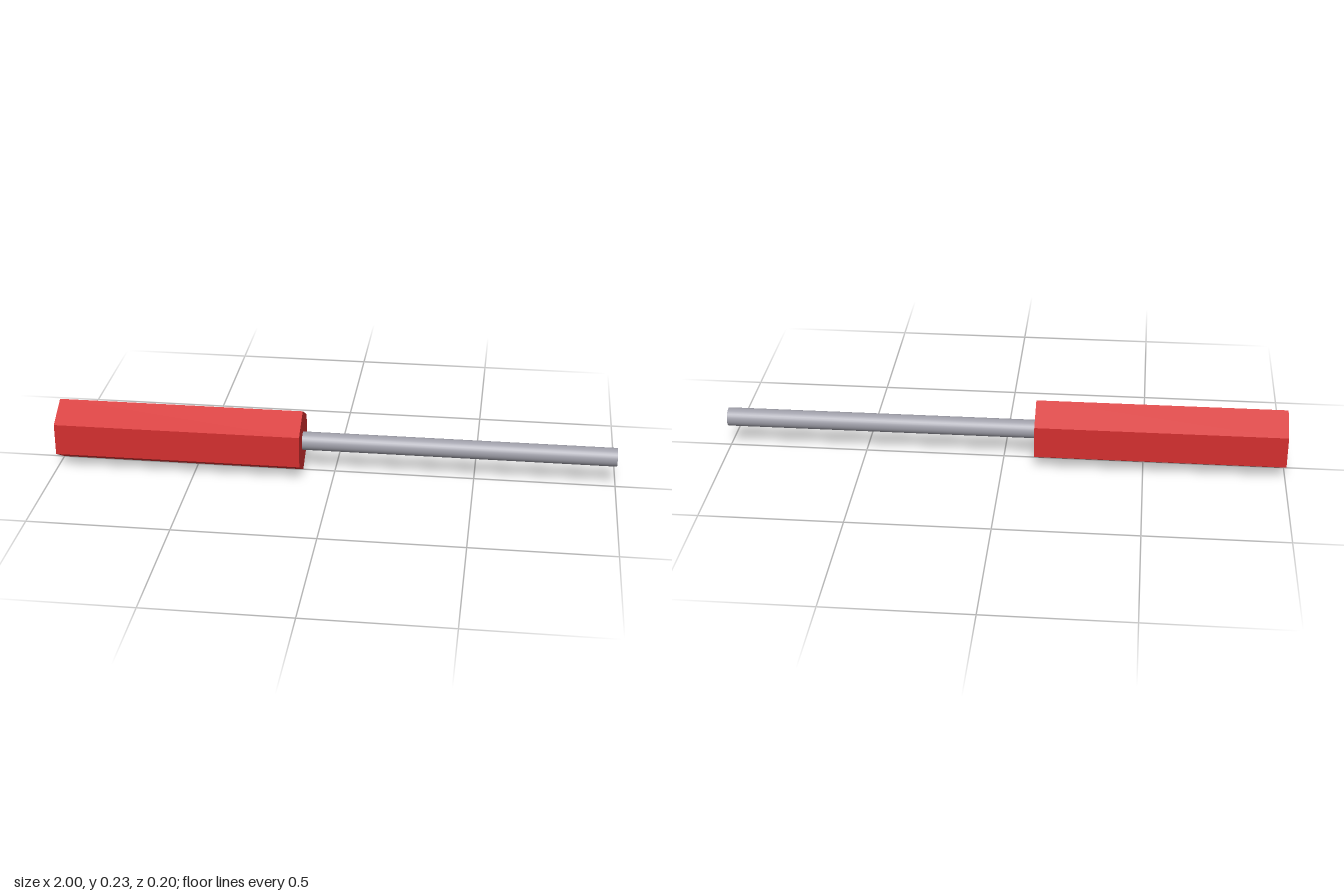
import * as THREE from 'three';

const HEX_RADIUS = 0.1155; // corner radius, also the height of the axis
const JOINT_X = -0.115;    // where the shaft leaves the handle

// Cylinder or prism lying along x from x0 to x1
function bar(name, radius, x0, x1, sides, color, flatShading) {
  const geometry = new THREE.CylinderGeometry(radius, radius, x1 - x0, sides);
  geometry.rotateY(Math.PI / 6); // puts hexagon corners at top and bottom
  geometry.rotateZ(-Math.PI / 2);
  const mesh = new THREE.Mesh(geometry, new THREE.MeshStandardMaterial({ color, flatShading }));
  mesh.name = name;
  mesh.position.set((x0 + x1) / 2, HEX_RADIUS, 0);
  return mesh;
}

export function createModel() {
  const model = new THREE.Group();
  model.name = 'screwdriver';
  // Hexagonal grip
  model.add(bar('handle', HEX_RADIUS, -1, JOINT_X, 6, 0xd32f2f, true));
  // Round metal rod
  model.add(bar('shaft', 0.033, JOINT_X, 1, 32, 0xa0a0aa, false));
  return model;
}
